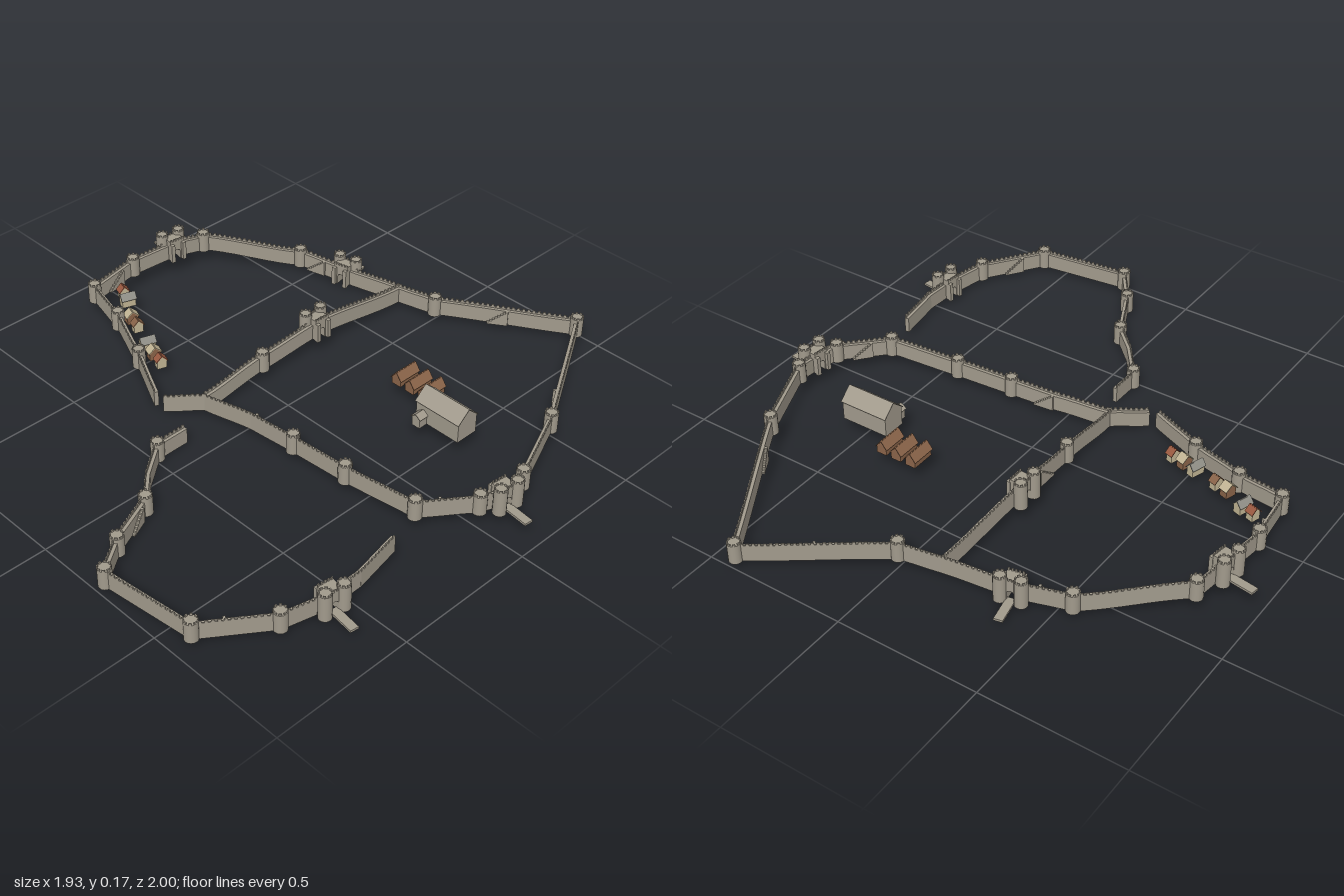
import * as THREE from 'three';
import { mergeGeometries } from 'three/addons/utils/BufferGeometryUtils.js';

const mat = (name, color) => {
  const m = new THREE.MeshStandardMaterial({ color });
  m.name = name;
  return m;
};

// Wall paths: [x, z, ground height, kind]; the outside lies to the left of travel
const TOWER = 1, GATE = 2, GATE_PLAIN = 3;
const PATHS = {
  outerWall: [
    [-0.29, 0.32, 0.01], [-0.485, 0.23, 0.02, TOWER], [-0.685, 0.155, 0.038, TOWER], [-0.855, 0.12, 0.05, TOWER],
    [-0.88, -0.075, 0.06, TOWER], [-0.86, -0.25, 0.065, GATE], [-0.835, -0.37, 0.055, TOWER],
    [-0.55, -0.59, 0.022, TOWER], [-0.37, -0.635, 0.014, GATE], [-0.14, -0.675, 0.025], [0.005, -0.705, 0.03, TOWER],
    [0.415, -0.98, 0.018, TOWER], [0.715, -0.47, 0.053, TOWER], [0.83, -0.195, 0.052, TOWER],
    [0.835, -0.098, 0.043, GATE], [0.81, -0.02, 0.045, TOWER], [0.685, 0.13, 0.036, TOWER],
    [0.42, 0.16, 0.03, TOWER], [0.205, 0.175, 0.03, TOWER], [0.03, 0.19, 0.028], [-0.155, 0.225, 0.018], [-0.255, 0.315, 0.006],
  ],
  crossWall: [
    [-0.155, 0.225, 0.018], [-0.16, -0.035, 0.045, TOWER], [-0.16, -0.29, 0.058, GATE_PLAIN], [-0.14, -0.675, 0.025],
  ],
  lowerWall: [
    [0.735, 0.28, 0.025], [0.765, 0.45, 0.02], [0.765, 0.57, 0.015, GATE], [0.73, 0.73, 0.018, TOWER],
    [0.585, 0.935, 0.018, TOWER], [0.255, 0.975, 0.018, TOWER], [0.17, 0.86, 0.012, TOWER],
    [0.085, 0.68, 0.006, TOWER], [0, 0.6, 0.002], [-0.09, 0.485, 0, TOWER], [-0.09, 0.37, 0.002],
  ],
};
// Stairs against the walls: [segment, position along it, side]
const STAIRS = {
  outerWall: [[3, 0.5, -1], [7, 0.4, -1], [10, 0.45, -1], [11, 0.7, -1], [15, 0.45, -1], [18, 0.75, -1]],
  crossWall: [[1, 0.52, 1]],
  lowerWall: [[3, 0.5, -1], [6, 0.6, -1]],
};
const HALF = 0.0075, WALK = 0.056;

const box = (w, h, d, x, y, z) => new THREE.BoxGeometry(w, h, d).translate(x, y, z).toNonIndexed();

// Frame with x = outside, y = up, z = along the wall
function wallFrame(a, b) {
  const d = new THREE.Vector3(b[0] - a[0], 0, b[1] - a[1]);
  const length = d.length();
  d.normalize();
  const matrix = new THREE.Matrix4().makeBasis(new THREE.Vector3(d.z, 0, -d.x), new THREE.Vector3(0, 1, 0), d);
  matrix.setPosition(a[0], 0, a[1]);
  return { length, matrix };
}

// One wall stretch with parapet and merlons following the ground
function wallSegment(a, b) {
  const { length, matrix } = wallFrame(a, b);
  const ground = (s) => a[2] + (b[2] - a[2]) * THREE.MathUtils.smoothstep(s, 0, length);
  const from = a[3] >= GATE ? 0.022 : -0.003;
  const to = length - (b[3] >= GATE ? 0.022 : -0.003);
  const section = new THREE.Shape([
    [-HALF, 0], [HALF, 0], [HALF, WALK + 0.005], [HALF - 0.004, WALK + 0.005], [HALF - 0.004, WALK], [-HALF, WALK],
  ].map((p) => new THREE.Vector2(...p)));
  const steps = Math.max(2, Math.round(length / 0.035));
  const wall = new THREE.ExtrudeGeometry(section, { depth: to - from, steps, bevelEnabled: false }).translate(0, 0, from);
  const pos = wall.attributes.position;
  for (let i = 0; i < pos.count; i++) pos.setY(i, pos.getY(i) + ground(pos.getZ(i)));
  wall.computeVertexNormals();
  const parts = [wall];
  const count = Math.max(1, Math.round((to - from) / 0.018));
  for (let i = 0; i < count; i++) {
    const s = from + ((i + 0.5) / count) * (to - from);
    parts.push(box(0.004, 0.009, 0.01, HALF - 0.002, ground(s) + WALK + 0.0075, s));
  }
  return mergeGeometries(parts).applyMatrix4(matrix);
}

// Round tower with a ring of merlons
function towerGeometry(r, h, x, y, z) {
  const parts = [new THREE.CylinderGeometry(r, r, h, 16).translate(0, h / 2, 0).toNonIndexed()];
  for (let i = 0; i < 8; i++) {
    parts.push(box(0.009, 0.007, 0.004, 0, h + 0.003, r - 0.003).rotateY((i / 8) * Math.PI * 2));
  }
  return mergeGeometries(parts).translate(x, y, z);
}

// Gatehouse: arched block, twin front towers, rear piers, optional bridge (outside = +z)
function gatehouse(stone, withBridge) {
  const g = new THREE.Group();
  const add = (name, geometry) => {
    const m = new THREE.Mesh(geometry, stone);
    m.name = name;
    g.add(m);
  };
  const front = new THREE.Shape();
  front.moveTo(-0.028, 0).lineTo(-0.012, 0).lineTo(-0.012, 0.03);
  front.absarc(0, 0.03, 0.012, Math.PI, 0, true);
  front.lineTo(0.012, 0).lineTo(0.028, 0).lineTo(0.028, 0.08).lineTo(-0.028, 0.08);
  add('gateBlock', new THREE.ExtrudeGeometry(front, { depth: 0.05, bevelEnabled: false }).translate(0, 0, -0.025));
  const crown = [];
  for (const z of [-0.023, 0.023]) for (let i = -2; i <= 2; i++) crown.push(box(0.007, 0.008, 0.004, i * 0.012, 0.084, z));
  add('gateMerlons', mergeGeometries(crown));
  for (const s of [-1, 1]) {
    add('gateTower', towerGeometry(0.022, 0.093, s * 0.034, 0, 0.022));
    add('gatePier', box(0.014, 0.07, 0.014, s * 0.023, 0.035, -0.03));
  }
  if (withBridge) add('bridge', box(0.03, 0.008, 0.1, 0, 0.004, 0.065));
  return g;
}

// Gabled house, ridge along its own z
function house(name, [x, y, z], [w, h, len, rise], turn, wallMat, roofMat) {
  const g = new THREE.Group();
  g.name = name;
  const gable = new THREE.Shape([[-w / 2, 0], [w / 2, 0], [w / 2, h], [0, h + rise], [-w / 2, h]].map((p) => new THREE.Vector2(...p)));
  const body = new THREE.Mesh(new THREE.ExtrudeGeometry(gable, { depth: len, bevelEnabled: false }).translate(0, 0, -len / 2), wallMat);
  body.name = 'houseWalls';
  g.add(body);
  const slope = Math.atan2(rise, w / 2), run = Math.hypot(rise, w / 2) + 0.004;
  for (const s of [-1, 1]) {
    const roof = new THREE.Mesh(new THREE.BoxGeometry(run, 0.003, len + 0.006).translate(s * run / 2, 0.0015, 0), roofMat);
    roof.rotation.z = -s * slope;
    roof.position.y = h + rise;
    roof.name = 'roofSlope';
    g.add(roof);
  }
  g.position.set(x, y, z);
  g.rotation.y = turn;
  return g;
}

export function createModel() {
  const root = new THREE.Group();
  root.name = 'walledTown';
  const stone = mat('stone', 0xa19a8c), slate = mat('slate', 0x8f8e86), timber = mat('timber', 0x8a6449);
  const plaster = mat('plaster', 0xc2b594), clay = mat('clayRoof', 0x9a5a41);

  for (const [name, path] of Object.entries(PATHS)) {
    const ward = new THREE.Group();
    ward.name = name;
    const add = (part, geometry) => {
      const m = new THREE.Mesh(geometry, stone);
      m.name = part;
      ward.add(m);
    };
    path.forEach((p, i) => {
      if (i < path.length - 1) add('wall', wallSegment(p, path[i + 1]));
      if (p[3] === TOWER) add('tower', towerGeometry(0.023, 0.07, p[0], p[2], p[1]));
      if (p[3] >= GATE) {
        const a = path[i - 1], b = path[i + 1];
        const gate = gatehouse(stone, p[3] === GATE);
        gate.name = 'gatehouse';
        gate.position.set(p[0], p[2], p[1]);
        gate.rotation.y = Math.atan2(b[1] - a[1], -(b[0] - a[0]));
        ward.add(gate);
      }
    });
    for (const [i, t, side] of STAIRS[name]) {
      const a = path[i], b = path[i + 1];
      const { length, matrix } = wallFrame(a, b);
      const y = a[2] + (b[2] - a[2]) * THREE.MathUtils.smoothstep(t, 0, 1);
      const steps = [];
      for (let k = 0; k < 8; k++) {
        const h = ((k + 1) / 8) * WALK;
        steps.push(box(0.01, h, 0.009, side * (HALF + 0.004), y + h / 2, t * length + (k - 3.5) * 0.009));
      }
      add('stairs', mergeGeometries(steps).applyMatrix4(matrix));
    }
    root.add(ward);
  }

  // Great hall with porch
  root.add(house('greatHall', [0.472, 0.06, -0.243], [0.086, 0.07, 0.178, 0.038], Math.PI / 2, stone, stone));
  root.add(house('hallPorch', [0.414, 0.06, -0.182], [0.032, 0.035, 0.034, 0.012], 0, stone, stone));

  // Row of timber sheds
  for (const x of [0.222, 0.28, 0.338]) {
    root.add(house('shed', [x, 0.06, -0.322], [0.038, 0.025, 0.086, 0.025], 0, timber, timber));
  }

  // Town houses along the front wall: x, ground, z, width, length, ridge across the street, walls, roof
  const street = -0.32;
  [
    [-0.8, 0.052, 0.038, 0.032, 0.028, 1, plaster, clay],
    [-0.755, 0.05, 0.055, 0.03, 0.05, 0, plaster, slate],
    [-0.675, 0.042, 0.105, 0.04, 0.03, 1, timber, plaster],
    [-0.625, 0.038, 0.12, 0.034, 0.026, 1, plaster, timber],
    [-0.53, 0.03, 0.155, 0.028, 0.05, 0, plaster, slate],
    [-0.48, 0.026, 0.17, 0.04, 0.03, 1, timber, plaster],
    [-0.43, 0.022, 0.182, 0.034, 0.026, 1, plaster, clay],
  ].forEach(([x, y, z, w, len, across, walls, roof]) => {
    root.add(house('townHouse', [x, y, z], [w, 0.03, len, 0.018], street + across * Math.PI / 2, walls, roof));
  });
  return root;
}
